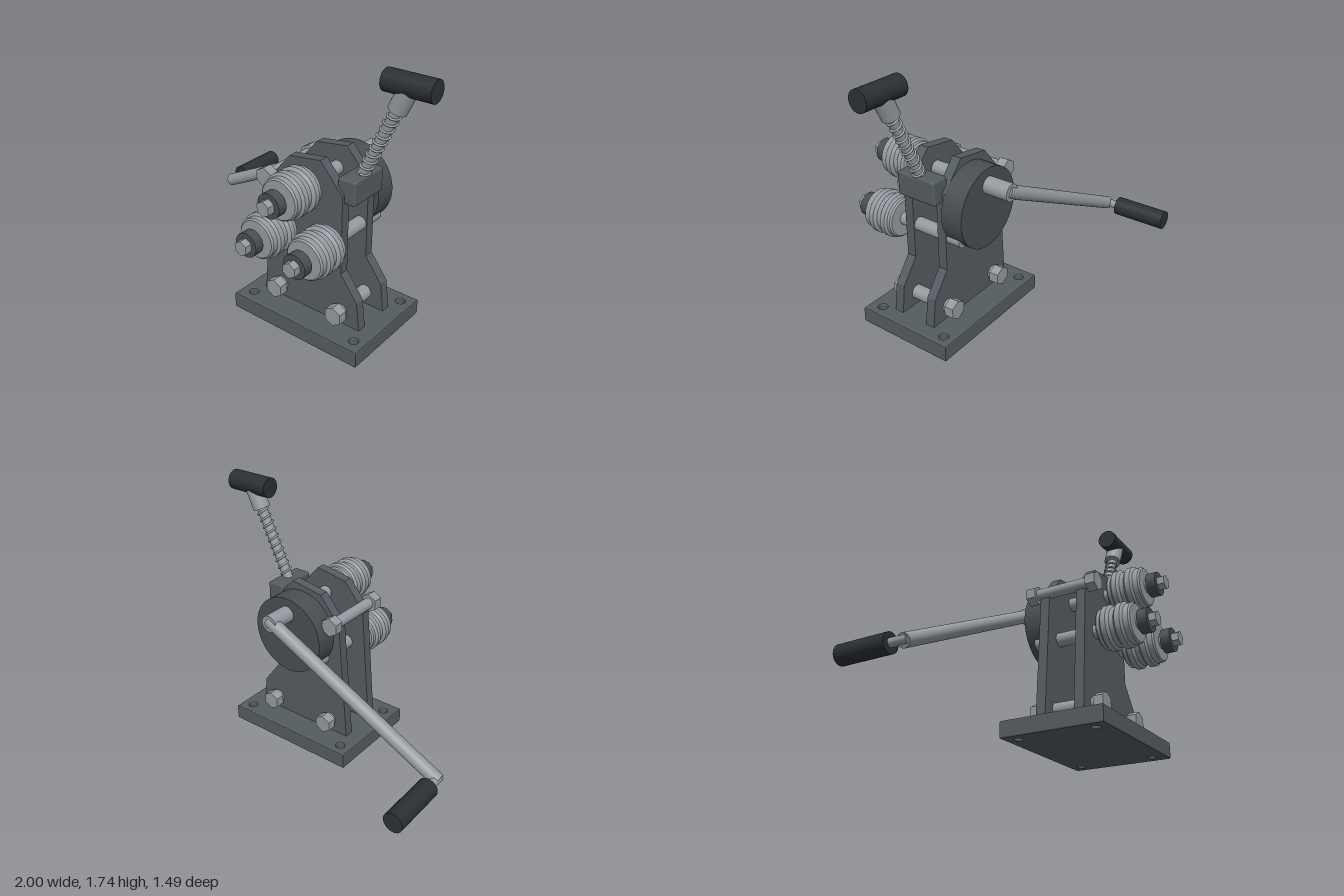
import * as THREE from 'three';
import { RoundedBoxGeometry } from 'three/addons/geometries/RoundedBoxGeometry.js';

const mat = (color, flatShading = false) => new THREE.MeshStandardMaterial({ color, flatShading });
const V = (x, y, z) => new THREE.Vector3(x, y, z);

export function createModel() {
  const model = new THREE.Group();
  const paint = mat(0x555c61), dark = mat(0x484e52), rubber = mat(0x2b2f34);
  const steel = mat(0x949ba0), hexSteel = mat(0x949ba0, true);

  const add = (name, geometry, material, parent = model) => {
    const mesh = new THREE.Mesh(geometry, material);
    mesh.name = name;
    parent.add(mesh);
    return mesh;
  };
  // Cylinder between two points
  const rod = (name, a, b, r, material = steel, parent = model, sides = 32) => {
    const d = b.clone().sub(a);
    const mesh = add(name, new THREE.CylinderGeometry(r, r, d.length(), sides), material, parent);
    mesh.position.copy(a).addScaledVector(d, 0.5);
    mesh.quaternion.setFromUnitVectors(V(0, 1, 0), d.normalize());
    return mesh;
  };
  // Cylinder along z
  const zRod = (name, x, y, z0, z1, r, material, parent, sides) =>
    rod(name, V(x, y, z0), V(x, y, z1), r, material, parent, sides);

  // Base plate with four mounting holes
  const baseShape = new THREE.Shape([[-0.17, -0.505], [0.79, -0.505], [0.79, 0.175], [-0.17, 0.175]]
    .map(p => new THREE.Vector2(...p)));
  for (const x of [-0.085, 0.71]) for (const z of [-0.095, 0.415]) {
    const hole = new THREE.Path();
    hole.absarc(x, -z, 0.03, 0, Math.PI * 2, true);
    baseShape.holes.push(hole);
  }
  const baseGeo = new THREE.ExtrudeGeometry(baseShape, {
    depth: 0.09, bevelThickness: 0.01, bevelSize: 0.01, bevelOffset: -0.01, bevelSegments: 2, curveSegments: 24,
  });
  baseGeo.rotateX(-Math.PI / 2).translate(0, 0.01, 0);
  add('basePlate', baseGeo, paint);

  // Two upright side plates
  const plateShape = new THREE.Shape([
    [-0.06, 0.1], [0.685, 0.1], [0.66, 0.3], [0.54, 0.46], [0.54, 0.98],
    [0.38, 1.16], [0.15, 1.125], [0.005, 0.95],
  ].map(p => new THREE.Vector2(...p)));
  for (const [name, z] of [['backPlate', 0.005], ['frontPlate', 0.262]]) {
    const geo = new THREE.ExtrudeGeometry(plateShape, { depth: 0.064, bevelEnabled: false });
    add(name, geo, paint).position.z = z;
  }

  // Tie bolts joining the plates
  for (const [x, y, r] of [[0.08, 0.2, 0.047], [0.545, 0.2, 0.047], [0.018, 0.97, 0.038]]) {
    const bolt = new THREE.Group();
    bolt.name = 'tieBolt';
    zRod('tieRod', x, y, -0.03, 0.36, r, steel, bolt);
    zRod('boltHead', x, y, 0.345, 0.41, 0.064, hexSteel, bolt, 6);
    zRod('nut', x, y, -0.08, -0.015, 0.064, hexSteel, bolt, 6);
    model.add(bolt);
  }

  // Grooved rollers on their shafts, with collar and hex end
  const profile = [
    [0, 0.383], [0.12, 0.383], [0.13, 0.393], [0.13, 0.415], [0.145, 0.427], [0.145, 0.46],
    [0.127, 0.476], [0.127, 0.505], [0.145, 0.52], [0.145, 0.555], [0.13, 0.568],
    [0.13, 0.603], [0.12, 0.613], [0, 0.613],
  ];
  // Each straight profile section is its own lathe band, so edges stay crisp
  const addRoller = parent => {
    const roller = new THREE.Group();
    roller.name = 'roller';
    for (let i = 1; i < profile.length; i++) {
      const band = [profile[i - 1], profile[i]].map(p => new THREE.Vector2(...p));
      add('rollerBand', new THREE.LatheGeometry(band, 48), steel, roller);
    }
    roller.rotation.x = Math.PI / 2;
    parent.add(roller);
    return roller;
  };
  for (const [x, y] of [[0.31, 1.0], [0.13, 0.68], [0.49, 0.68]]) {
    const unit = new THREE.Group();
    unit.name = 'rollerUnit';
    addRoller(unit);
    zRod('shaft', 0, 0, -0.09, 0.65, 0.045, steel, unit);
    zRod('collar', 0, 0, 0.635, 0.698, 0.078, dark, unit);
    zRod('hexEnd', 0, 0, 0.69, 0.745, 0.048, hexSteel, unit, 6);
    unit.position.set(x, y, 0);
    model.add(unit);
  }

  // Gear housing and crank
  zRod('gearHousing', 0.31, 0.845, -0.143, 0.006, 0.264, dark, model, 64);
  const crank = new THREE.Group();
  crank.name = 'crank';
  zRod('crankHub', 0.31, 1.0, -0.315, -0.13, 0.056, steel, crank);
  rod('crankArm', V(0.33, 1.01, -0.285), V(-0.945, 0.37, -0.285), 0.044, steel, crank);
  zRod('crankPin', -0.935, 0.38, -0.4, -0.26, 0.028, steel, crank);
  zRod('crankGrip', -0.935, 0.38, -0.745, -0.382, 0.064, rubber, crank);
  model.add(crank);

  // Clamp block with spring-loaded pressure lever
  add('clampBlock', new RoundedBoxGeometry(0.122, 0.157, 0.284, 3, 0.014), paint).position.set(0.549, 1.003, 0.165);
  const foot = V(0.55, 1.05, 0.167), top = V(0.84, 1.665, 0.167);
  const lever = new THREE.Group();
  lever.name = 'pressureLever';
  const along = t => foot.clone().lerp(top, t);
  rod('leverRod', foot, top, 0.033, steel, lever);
  rod('leverSocket', along(0.76), top, 0.058, steel, lever);
  rod('leverGrip', V(0.69, 1.673, 0.167), V(1.0, 1.673, 0.167), 0.067, rubber, lever);

  // Coil spring wound round the lever rod
  const axis = top.clone().sub(foot).normalize();
  const side = V(0, 0, 1), across = axis.clone().cross(side);
  const turns = 10, coil = [];
  for (let i = 0; i <= turns * 16; i++) {
    const a = i / 16 * Math.PI * 2;
    coil.push(along(0.06 + 0.7 * i / (turns * 16))
      .addScaledVector(side, 0.037 * Math.cos(a)).addScaledVector(across, 0.037 * Math.sin(a)));
  }
  add('spring', new THREE.TubeGeometry(new THREE.CatmullRomCurve3(coil), turns * 24, 0.007, 8), steel, lever);
  model.add(lever);

  return model;
}
